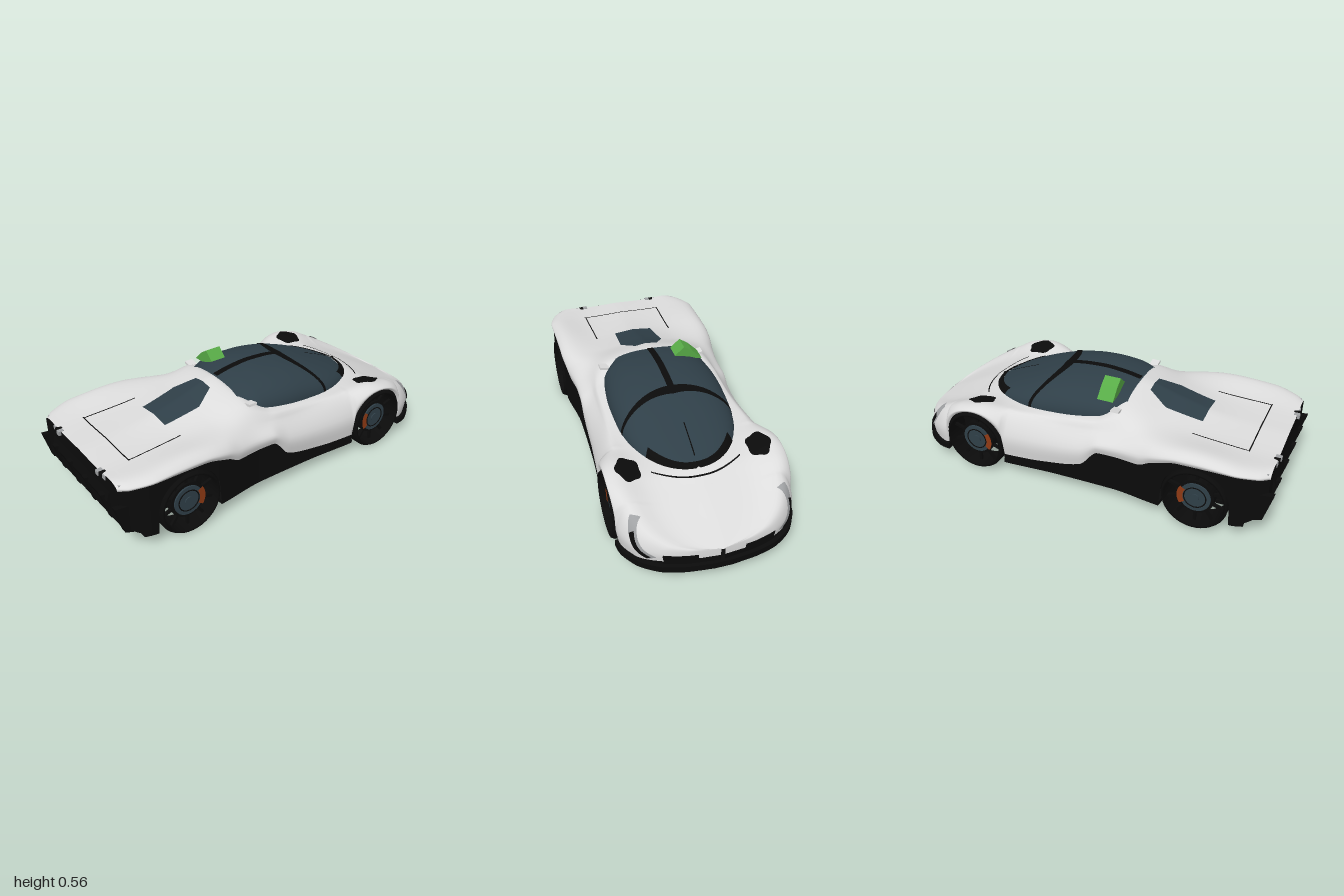
import * as THREE from 'three';

const mat = (name, color) => new THREE.MeshStandardMaterial({ name, color, side: THREE.DoubleSide });
const white = mat('whitePaint', 0xdcdcdc);
const black = mat('blackTrim', 0x0b0b0b);
const glass = mat('tintedGlass', 0x2f3f48);
const green = mat('green', 0x58ab47);
const orange = mat('caliperOrange', 0x8f3a14);
const grey = mat('lampGrey', 0xa0a2a4);

// Smooth, non-overshooting curve through [x, y, x, y, ...]
function curve(...p) {
  const n = p.length / 2, X = i => p[2 * i], Y = i => p[2 * i + 1];
  const d = i => (Y(i + 1) - Y(i)) / (X(i + 1) - X(i));
  const m = i => {
    if (i === 0) return d(0);
    if (i === n - 1) return d(n - 2);
    const a = d(i - 1), b = d(i);
    return a * b <= 0 ? 0 : (2 * a * b) / (a + b);
  };
  return x => {
    if (x <= X(0)) return Y(0);
    if (x >= X(n - 1)) return Y(n - 1);
    let i = 0;
    while (x > X(i + 1)) i++;
    const h = X(i + 1) - X(i), t = (x - X(i)) / h, t2 = t * t, t3 = t2 * t;
    return Y(i) * (2 * t3 - 3 * t2 + 1) + m(i) * h * (t3 - 2 * t2 + t) + Y(i + 1) * (3 * t2 - 2 * t3) + m(i + 1) * h * (t3 - t2);
  };
}

// Grid surface from a function of u, v in 0..1
function grid(nu, nv, fn) {
  const pos = [], idx = [];
  for (let i = 0; i <= nu; i++) for (let j = 0; j <= nv; j++) pos.push(...fn(i / nu, j / nv));
  for (let i = 0; i < nu; i++) for (let j = 0; j < nv; j++) {
    const a = i * (nv + 1) + j, b = a + nv + 1;
    idx.push(a, a + 1, b, b, a + 1, b + 1);
  }
  const g = new THREE.BufferGeometry();
  g.setAttribute('position', new THREE.Float32BufferAttribute(pos, 3));
  g.setIndex(idx);
  g.computeVertexNormals();
  return g;
}

const X0 = -0.97, X1 = 0.985, REAR = -0.64, FRONT = 0.565, AXLE = 0.166;
const halfWidth = curve(-0.97, 0.36, -0.92, 0.4, -0.8, 0.435, -0.5, 0.435, -0.2, 0.405, 0.1, 0.41, 0.4, 0.43, 0.6, 0.437,
  0.75, 0.428, 0.85, 0.38, 0.93, 0.28, 0.965, 0.17, 0.985, 0.01);
const crestY = curve(-0.97, 0.368, -0.6, 0.402, -0.4, 0.39, -0.2, 0.365, 0.1, 0.335, 0.35, 0.345, 0.52, 0.372, 0.65, 0.35,
  0.78, 0.285, 0.88, 0.23, 0.985, 0.17);
const innerK = curve(-0.97, 0.5, -0.5, 0.47, -0.2, 0.6, -0.05, 0.71, 0.3, 0.68, 0.5, 0.56, 0.98, 0.5);
const innerY = curve(-0.97, 0.36, -0.6, 0.378, -0.4, 0.405, -0.2, 0.45, -0.08, 0.4, 0, 0.388, 0.28, 0.36, 0.5, 0.347,
  0.6, 0.335, 0.7, 0.297, 0.8, 0.252, 0.9, 0.205, 0.985, 0.165);
const centreY = curve(-0.97, 0.365, -0.75, 0.375, -0.6, 0.392, -0.4, 0.44, -0.2, 0.492, -0.1, 0.4, 0.3, 0.36, 0.5, 0.347,
  0.6, 0.342, 0.7, 0.303, 0.8, 0.258, 0.9, 0.208, 0.985, 0.165);
const paintEdge = curve(-0.97, 0.335, -0.8, 0.35, -0.55, 0.345, -0.42, 0.31, -0.34, 0.27, -0.13, 0.265, -0.03, 0.17, 0.1, 0.14,
  0.26, 0.125, 0.7, 0.12, 0.76, 0.1, 0.85, 0.1, 0.93, 0.115, 0.985, 0.13);
const sillEdge = curve(-0.97, 0.15, -0.88, 0.09, -0.8, 0.07, 0.98, 0.07);
const arch = (x, c) => (Math.abs(x - c) < 0.17 ? AXLE + Math.sqrt(0.0289 - (x - c) ** 2) : 0);
const lowY = x => Math.max(paintEdge(x), arch(x, FRONT));

// Body surface: s runs from 0 at the lower edge to 1 on the centre line
function section(x) {
  const w = halfWidth(x), lo = lowY(x), cr = crestY(x);
  return new THREE.SplineCurve([[0.985 * w, lo], [w, lo + (cr - lo) * 0.5], [0.86 * w, cr], [innerK(x) * w, innerY(x)], [0, centreY(x)]]
    .map(p => new THREE.Vector2(...p)));
}
function bodyY(x, z) {
  const c = section(x);
  let a = 0.2, b = 1;
  for (let i = 0; i < 24; i++) {
    const k = (a + b) / 2;
    if (c.getPoint(k).x > Math.abs(z)) a = k; else b = k;
  }
  return c.getPoint(a).y;
}

// Canopy surface as a height over x, z
const canopyZ = curve(-0.2, 0.21, -0.1, 0.28, 0.1, 0.3, 0.25, 0.295, 0.35, 0.28, 0.45, 0.245, 0.53, 0.19, 0.58, 0.12, 0.612, 0.01);
const canopyTop = curve(-0.2, 0.494, -0.1, 0.512, 0, 0.52, 0.1, 0.515, 0.2, 0.5, 0.3, 0.472, 0.4, 0.436, 0.5, 0.396, 0.612, 0.345);
const canopyBase = curve(-0.2, 0.43, -0.1, 0.385, 0.1, 0.365, 0.3, 0.345, 0.45, 0.335, 0.612, 0.33);
function canopyY(x, z) {
  const k = Math.min(1, Math.abs(z) / canopyZ(x)), b = canopyBase(x);
  return b + (canopyTop(x) - b) * (1 - k ** 2.5) ** 0.45;
}

export function createModel() {
  const car = new THREE.Group();
  const add = (name, geo, material, parent = car) => {
    const m = new THREE.Mesh(geo, material);
    m.name = name;
    parent.add(m);
    return m;
  };
  const box = (name, material, w, h, d, x, y, z) => {
    const m = add(name, new THREE.BoxGeometry(w, h, d), material);
    m.position.set(x, y, z);
    return m;
  };
  const outline = pts => new THREE.Shape(pts.map(p => new THREE.Vector2(...p)));
  const extrude = (pts, depth) => new THREE.ExtrudeGeometry(outline(pts), { depth, bevelEnabled: false });
  const station = u => X0 + (X1 - X0) * (u - 0.12 * Math.sin(2 * Math.PI * u));
  // Thin patch laid over a height surface; f gives [x, z]
  const drape = (name, material, surface, f, nu = 24, nv = 6, lift = 0.005) => add(name, grid(nu, nv, (u, v) => {
    const [x, z] = f(u, v);
    return [x, surface(x, z) + lift, z];
  }), material);

  // Painted shell
  add('bodyShell', grid(240, 36, (u, v) => {
    const x = station(u), k = 2 * v - 1, p = section(x).getPoint(1 - Math.abs(k));
    return [x, p.y, p.x * Math.sign(k)];
  }), white);

  // Rear panel
  add('rearPanel', grid(30, 1, (u, v) => {
    const k = 2 * u - 1, p = section(X0).getPoint(1 - Math.abs(k));
    return [X0, v ? 0.15 : p.y, p.x * Math.sign(k)];
  }), black);

  // Floor, narrowed beside the wheels, and inner tub
  const isWheel = x => Math.abs(x - REAR) < 0.165 || Math.abs(x - FRONT) < 0.165;
  const plan = (a, b, f) => {
    const top = Array.from({ length: 121 }, (_, i) => a + (b - a) * i / 120).map(x => [x, f(x)]);
    return [...top, ...top.map(([x, z]) => [x, -z]).reverse()];
  };
  add('floor', extrude(plan(-0.88, 0.97, x => (isWheel(x) ? 0.29 : halfWidth(x) * 0.98)), 0.02).rotateX(Math.PI / 2), black).position.y = 0.088;
  add('splitter', extrude(plan(0.735, 1, x => halfWidth(x - 0.018) + 0.006), 0.033).rotateX(Math.PI / 2), black).position.y = 0.1;
  add('innerTub', extrude([[-0.95, 0.15], [-0.93, 0.32], [-0.2, 0.35], [0.3, 0.33], [0.6, 0.31], [0.8, 0.21], [0.9, 0.14],
    [0.9, 0.075], [-0.85, 0.075]], 0.57), black).position.z = -0.285;

  // Canopy with dark frame
  add('canopyGlass', grid(70, 40, (u, v) => {
    const x = -0.2 + 0.812 * u, k = Math.sin((v - 0.5) * Math.PI), z = canopyZ(x) * k;
    return [x, canopyY(x, z), z];
  }), glass);
  drape('roofSpine', black, canopyY, (u, v) => [-0.195 + 0.39 * u, (v - 0.5) * 0.035]);
  drape('windscreenFrame', black, canopyY, (u, v) => {
    const k = Math.sin((u - 0.5) * Math.PI);
    return [0.18 + 0.12 * k * k + (0.055 - 0.035 * Math.abs(k)) * v, 0.292 * k];
  }, 48);
  drape('windscreenBase', black, (x, z) => Math.max(canopyY(x, z), bodyY(x, z)), (u, v) => {
    const k = (u - 0.5) * 2, r = 0.03 * v;
    return [0.598 - 0.1 * k * k - 0.03 * k ** 4 + r, 0.2 * k * (1 + 0.1 * v)];
  }, 40);
  drape('cowlLine', black, bodyY, (u, v) => {
    const k = (u - 0.5) * 2;
    return [0.66 - 0.07 * k * k + 0.008 * v, 0.22 * k];
  }, 40, 1);
  add('wiper', grid(12, 1, (u, v) => {
    const x = 0.4 + 0.17 * u, z = 0.006 * (v - 0.5);
    return [x, canopyY(x, z) + 0.005, z];
  }), black);

  // Engine window and rear deck line
  drape('engineWindow', glass, bodyY, (u, v) => {
    const x = -0.565 + 0.295 * u, w = u < 0.65 ? 0.105 + 0.02 * u : 0.118 - 0.16 * (u - 0.65);
    return [x, (2 * v - 1) * w];
  }, 20, 16, 0.006);
  drape('deckLine', black, bodyY, (u, v) => [-0.835 + 0.006 * v, (u - 0.5) * 0.46], 24, 1, 0.004);

  for (const side of [1, -1]) {
    // Dark lower flanks
    add('lowerFlank', grid(240, 4, (u, v) => {
      const x = station(u), top = lowY(x), bottom = Math.min(top, Math.max(sillEdge(x), arch(x, FRONT), arch(x, REAR)));
      return [x, top + (bottom - top) * v, side * 0.985 * halfWidth(x)];
    }), black);

    // Fender vents
    drape('fenderVent', black, bodyY, (u, v) => {
      const a = u * Math.PI * 2, r = v * (1 + 0.08 * Math.sin(5 * a));
      return [0.565 + 0.072 * r * Math.cos(a), side * (0.325 + 0.058 * r * Math.sin(a))];
    }, 40, 8, 0.006);

    // Headlamps and front intakes follow the nose
    const nosePatch = (name, material, f, lift) => add(name, grid(20, 6, (u, v) => {
      const [x, s] = f(u, v), p = section(x).getPoint(s);
      return [x + lift, p.y + lift, side * (p.x + lift)];
    }), material);
    nosePatch('headlamp', grey, (u, v) => [0.775 + 0.13 * u + 0.02 * v, 0.48 - 0.42 * u + 0.09 * v], 0.003);
    nosePatch('headlampInsert', black, (u, v) => [0.82 + 0.08 * u + 0.012 * v, 0.35 - 0.28 * u + 0.06 * v], 0.006);
    nosePatch('frontIntake', black, (u, v) => [0.938 + 0.036 * u, 0.01 + 0.24 * v], 0.004);
    nosePatch('deckEdge', black, (u, v) => [-0.83 + 0.28 * u, 0.735 + 0.008 * v], 0.003);

    // Tail lamps in short blocks
    for (let i = 0; i < 7; i++)
      box('tailLamp', i % 2 ? black : grey, 0.03, 0.022, 0.024, -0.968 + 0.004 * i, 0.352, side * (0.2 + 0.025 * i));

    // Small winglets beside the canopy
    box('mirror', white, 0.045, 0.012, 0.05, -0.17, 0.445, side * 0.262).rotation.x = -side * 0.2;

    // Wheels
    for (const x of [REAR, FRONT]) {
      const wheel = new THREE.Group();
      wheel.name = x === FRONT ? 'frontWheel' : 'rearWheel';
      wheel.position.set(x, AXLE, side * 0.37);
      if (side < 0) wheel.scale.z = -1;
      car.add(wheel);
      const profile = [[0.148, -0.07], [0.158, -0.07], [0.166, -0.055], [0.166, 0.055], [0.158, 0.07], [0.148, 0.07], [0.148, -0.07]];
      add('tyre', new THREE.LatheGeometry(profile.map(p => new THREE.Vector2(...p)), 40).rotateX(Math.PI / 2), black, wheel);
      const disc = (name, r, depth, z, m) => add(name, new THREE.CylinderGeometry(r, r, depth, 32).rotateX(Math.PI / 2), m, wheel).position.z = z;
      disc('rim', 0.092, 0.05, 0.01, black);
      disc('brakeDisc', 0.077, 0.05, 0.018, glass);
      disc('hub', 0.022, 0.05, 0.024, glass);
      add('rimRing', new THREE.TorusGeometry(0.055, 0.003, 6, 32), black, wheel).position.z = 0.044;
      for (let i = 0; i < 10; i++) {
        const spoke = add('spoke', new THREE.BoxGeometry(0.07, 0.014, 0.014).translate(0.118, 0, 0.02), black, wheel);
        spoke.rotation.z = (i + 0.5) * Math.PI / 5;
      }
      const face = x === FRONT ? Math.PI : 0;
      add('caliper', new THREE.RingGeometry(0.06, 0.09, 12, 1, face - 0.6, 1.2), orange, wheel).position.z = 0.046;
      // Arch liner
      const liner = add('archLiner', new THREE.CylinderGeometry(0.169, 0.169, 0.14, 32, 1, true, Math.PI / 2, Math.PI).rotateX(Math.PI / 2), black);
      liner.position.set(x, AXLE, side * 0.352);
    }
  }

  // Rear bumper and diffuser fins
  add('rearBumper', extrude([[-0.9, 0.3], [-0.97, 0.29], [-0.985, 0.24], [-0.955, 0.16], [-0.86, 0.09]], 0.56), black).position.z = -0.28;
  for (const z of [-0.37, -0.24, -0.08, 0.08, 0.24, 0.37])
    add('diffuserFin', extrude([[-0.88, 0.25], [-1, 0.265], [-0.96, 0.12], [-0.84, 0.075]], 0.03), black).position.z = z - 0.015;

  // Green roof wedge
  const wedge = add('roofWedge', extrude([[0.1, 0.515], [0.15, 0.56], [0.195, 0.53], [0.25, 0.475], [0.18, 0.48]], 0.085).rotateY(Math.PI / 2), green);
  wedge.position.x = -0.145;
  return car;
}
